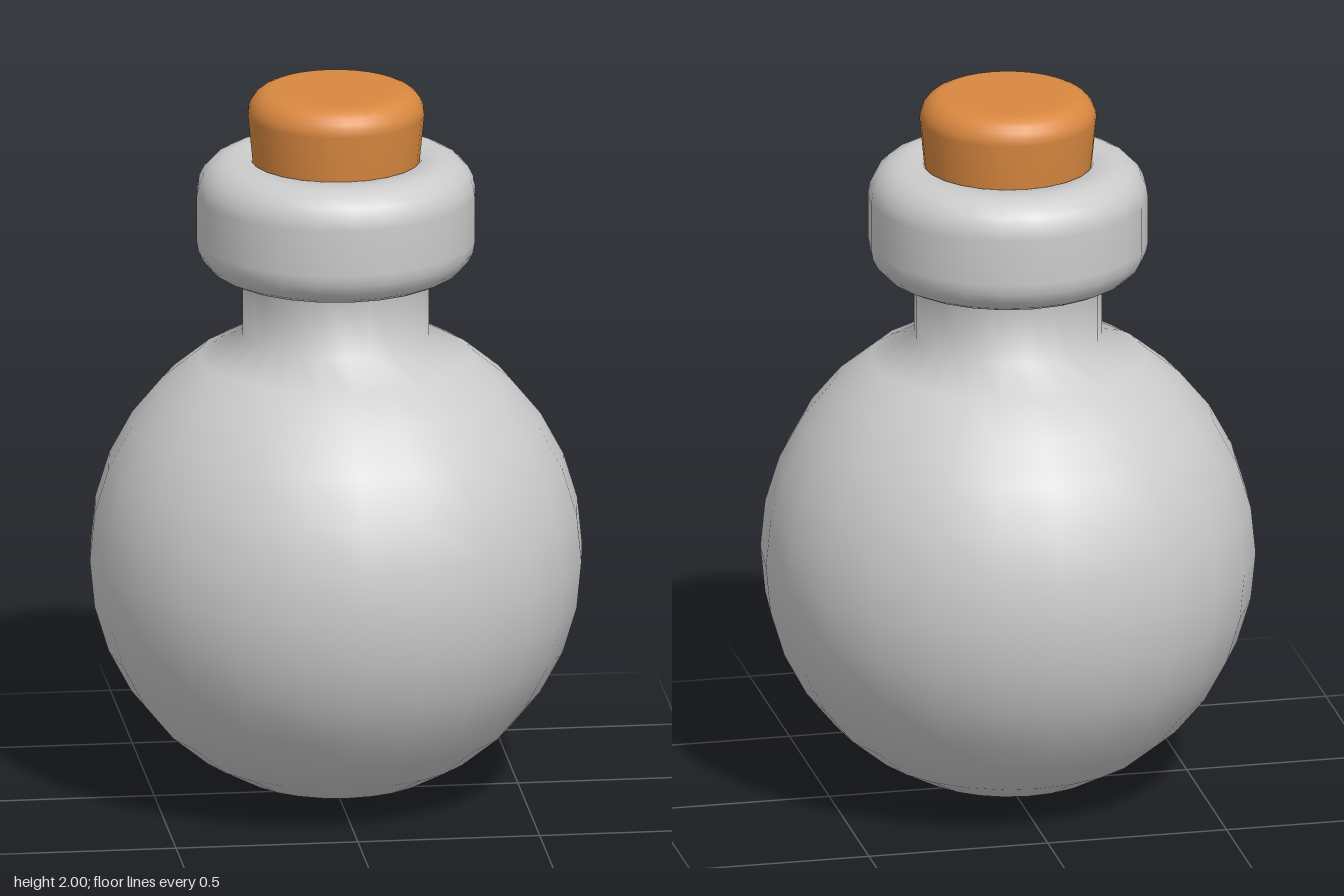
import * as THREE from 'three';

// Appends a rounded corner to a profile, angles in degrees
function arc(points, cx, cy, rx, ry, from, to, steps) {
  for (let i = 0; i <= steps; i++) {
    const a = THREE.MathUtils.degToRad(from + (to - from) * i / steps);
    points.push(new THREE.Vector2(Math.max(0, cx + rx * Math.cos(a)), cy + ry * Math.sin(a)));
  }
}

function turned(name, points, sides, color) {
  const material = new THREE.MeshStandardMaterial({ color, side: THREE.DoubleSide });
  const mesh = new THREE.Mesh(new THREE.LatheGeometry(points, sides), material);
  mesh.name = name;
  return mesh;
}

export function createModel() {
  const group = new THREE.Group();
  group.name = 'corkedFlask';

  // Round body, open where the neck starts
  const flask = [];
  arc(flask, 0, 0.68, 0.677, 0.677, -90, 56.25, 13);
  // Straight neck
  flask.push(new THREE.Vector2(0.257, 1.308), new THREE.Vector2(0.257, 1.48));
  // Thick rounded collar and the bore inside it
  arc(flask, 0.283, 1.58, 0.1, 0.1, -90, 0, 5);
  arc(flask, 0.283, 1.708, 0.1, 0.1, 0, 90, 5);
  flask.push(new THREE.Vector2(0.235, 1.805), new THREE.Vector2(0.222, 1.79), new THREE.Vector2(0.21, 1.6));
  group.add(turned('flask', flask, 24, 0xcccccc));

  // Tapered cork with a rounded top edge
  const cork = [new THREE.Vector2(0, 1.6), new THREE.Vector2(0.208, 1.6), new THREE.Vector2(0.229, 1.8)];
  arc(cork, 0.176, 1.932, 0.066, 0.068, 0, 90, 6);
  cork.push(new THREE.Vector2(0.15, 2), new THREE.Vector2(0, 2));
  group.add(turned('cork', cork, 32, 0xd98840));

  return group;
}
